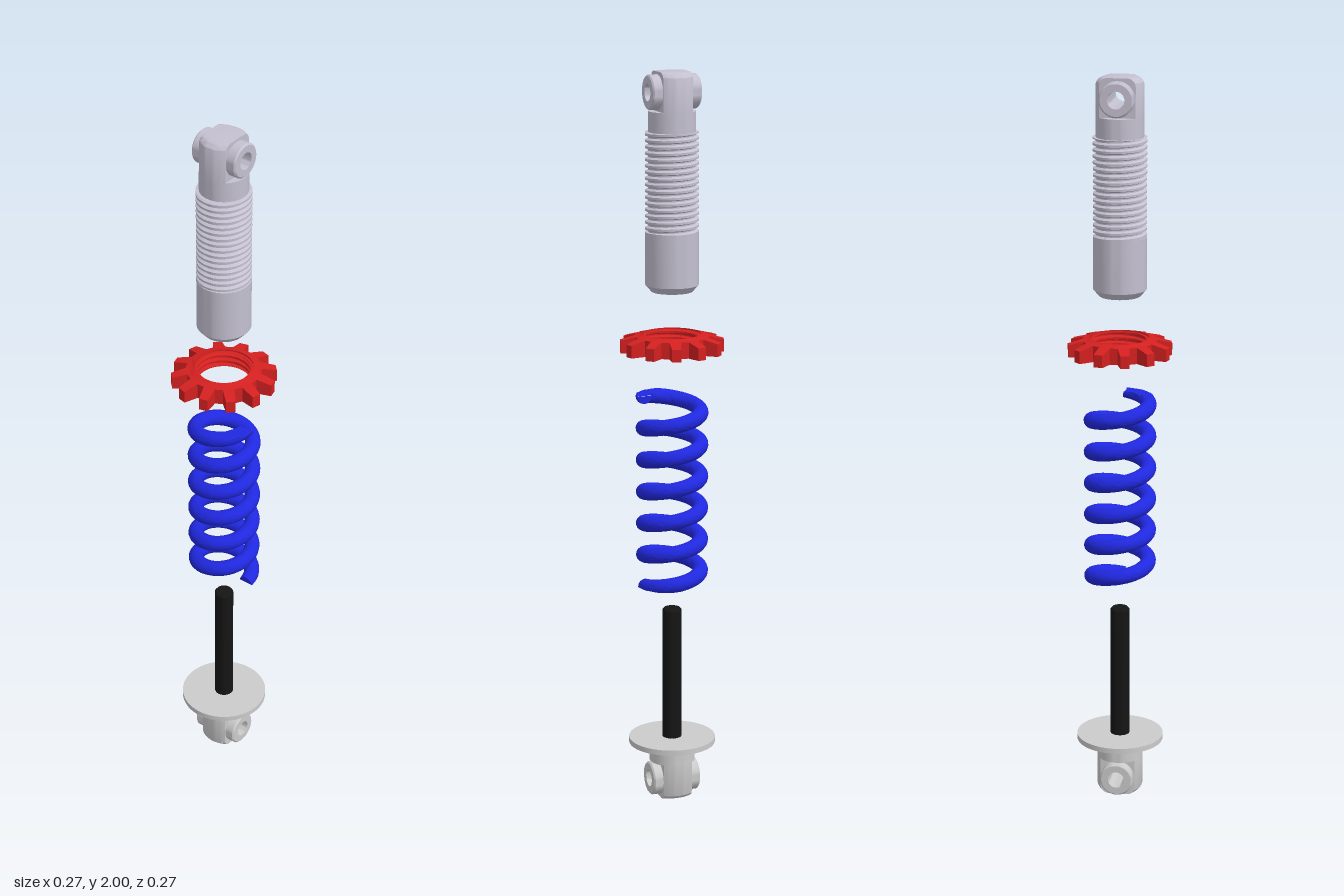
import * as THREE from 'three';
import { toCreasedNormals } from 'three/addons/utils/BufferGeometryUtils.js';

const mat = (color, side = THREE.FrontSide) => new THREE.MeshStandardMaterial({ color, side });
const BODY = mat(0xc4c0d0), GREY = mat(0xcccccc), BLACK = mat(0x151515);
const RED = mat(0xd42020, THREE.DoubleSide), BLUE = mat(0x2028e0);

function add(parent, name, geometry, material) {
  const mesh = new THREE.Mesh(geometry, material);
  mesh.name = name;
  parent.add(mesh);
  return mesh;
}

const lathe = (points, sides = 48) => toCreasedNormals(
  new THREE.LatheGeometry(points.map(([r, y]) => new THREE.Vector2(r, y)), sides), 0.5);

// Move every vertex of a geometry by a rule
function reshape(geometry, rule) {
  const p = geometry.attributes.position, v = new THREE.Vector3();
  for (let i = 0; i < p.count; i++) {
    rule(v.fromBufferAttribute(p, i));
    p.setXYZ(i, v.x, v.y, v.z);
  }
  return geometry;
}

// Screw thread: a ridge profile swept up a helix and trimmed flat at both ends
function thread(root, crest, yMin, yMax, pitch) {
  const profile = [[root, 0], [root, 0.2], [crest, 0.4], [crest, 0.75], [root, 1]];
  const seg = 48, n = profile.length, pos = [], index = [];
  const steps = Math.ceil((yMax - yMin) / pitch + 1) * seg;
  for (let i = 0; i <= steps; i++) {
    const a = i / seg * Math.PI * 2;
    for (const [r, h] of profile) {
      const y = yMin + (i / seg - 1 + h) * pitch;
      pos.push(r * Math.cos(a), THREE.MathUtils.clamp(y, yMin, yMax), -r * Math.sin(a));
    }
    if (i === steps) break;
    for (let j = 0; j < n - 1; j++) {
      const k = i * n + j;
      index.push(k, k + n, k + n + 1, k, k + n + 1, k + 1);
    }
  }
  const g = new THREE.BufferGeometry();
  g.setAttribute('position', new THREE.Float32BufferAttribute(pos, 3));
  g.setIndex(index);
  return toCreasedNormals(g, 0.5);
}

// Mounting eye, with its pin hole at the origin and its neck pointing down
function mountingEye(name, material) {
  const eye = new THREE.Group();
  eye.name = name;
  const R = 0.063, flat = 0.041, w = Math.sqrt(R * R - flat * flat);
  const top = 0.053, c = 0.022, hole = 0.023;

  // Round block with two flats, a rounded top and a cross hole
  const s = new THREE.Shape();
  s.moveTo(-w, -0.052).lineTo(w, -0.052).lineTo(w, top - c);
  s.absarc(w - c, top - c, c, 0, Math.PI / 2, false);
  s.absarc(c - w, top - c, c, Math.PI / 2, Math.PI, false);
  s.closePath();
  s.holes.push(new THREE.Path().absarc(0, 0, hole, 0, Math.PI * 2, true));
  const block = new THREE.ExtrudeGeometry(s, { depth: flat * 2, steps: 12, bevelEnabled: false, curveSegments: 16 });
  block.translate(0, 0, -flat).rotateY(Math.PI / 2);
  reshape(block, v => {
    if (Math.hypot(v.y, v.z) > 0.03) v.z *= Math.sqrt(R * R - v.x * v.x) / w;
  });
  add(eye, 'eyeBlock', toCreasedNormals(block, 0.6), material);

  // Neck below the flats
  add(eye, 'eyeNeck', lathe([[0, -0.11], [R, -0.11], [R, -0.05], [0, -0.05]]), material);

  // Ring boss on each flat
  const boss = lathe([[hole, 0.04], [0.046, 0.04], [0.046, 0.064], [0.042, 0.068], [hole, 0.068], [hole, 0.04]], 32);
  for (const side of [1, -1]) add(eye, 'eyeBoss', boss, material).rotation.z = -side * Math.PI / 2;
  return eye;
}

// Toothed adjuster nut: conical top face, threaded bore
function adjusterNut() {
  const nut = new THREE.Group();
  nut.name = 'adjusterNut';
  const yLow = 1.256, yHigh = 1.306, points = [];
  for (let i = 0; i < 12; i++) {
    for (const [deg, r] of [[-9, 0.1], [-5, 0.139], [5, 0.139], [9, 0.1]]) {
      const a = THREE.MathUtils.degToRad(15 + i * 30 + deg);
      points.push(new THREE.Vector2(r * Math.cos(a), r * Math.sin(a)));
    }
  }
  const s = new THREE.Shape(points);
  s.holes.push(new THREE.Path().absarc(0, 0, 0.078, 0, Math.PI * 2, true));
  const g = new THREE.ExtrudeGeometry(s, { depth: yHigh - yLow, bevelEnabled: false, curveSegments: 24 });
  g.rotateX(-Math.PI / 2).translate(0, yLow, 0);
  reshape(g, v => {
    if (v.y > yLow + 0.01) v.y -= (Math.hypot(v.x, v.z) - 0.078) * 0.27;
  });
  add(nut, 'nutTeeth', toCreasedNormals(g, 0.4), RED);
  add(nut, 'nutThread', thread(0.078, 0.07, yLow + 0.002, yHigh - 0.004, 0.0165), RED);
  return nut;
}

// Coil spring with both ends ground flat
function coilSpring() {
  const spring = new THREE.Group();
  spring.name = 'coilSpring';
  const y0 = 0.61, y1 = 1.14, R = 0.077, wire = 0.021, turns = 6;
  const path = new THREE.Curve();
  path.getPoint = (t, out = new THREE.Vector3()) => {
    const a = t * turns * Math.PI * 2;
    return out.set(R * Math.cos(a), y0 + (y1 - y0) * t, -R * Math.sin(a));
  };
  const coil = new THREE.TubeGeometry(path, turns * 48, wire, 16);
  reshape(coil, v => { v.y = THREE.MathUtils.clamp(v.y, y0, y1); });
  add(spring, 'coil', toCreasedNormals(coil, 0.7), BLUE);

  // Half-round end faces
  const cap = new THREE.CircleGeometry(wire, 16, 0, Math.PI);
  add(spring, 'coilEnd', cap, BLUE).position.set(R, y0, 0);
  const end = add(spring, 'coilEnd', cap, BLUE);
  end.position.set(R, y1, 0);
  end.rotation.x = Math.PI;
  return spring;
}

export function createModel() {
  const model = new THREE.Group();
  model.name = 'coilOverShockAbsorber';

  // Damper body with a chamfered, bored lower end
  add(model, 'damperBody', lathe([
    [0, 1.45], [0.027, 1.45], [0.027, 1.42], [0.055, 1.42], [0.071, 1.438],
    [0.071, 1.58], [0.063, 1.58], [0.063, 1.86], [0, 1.86],
  ]), BODY);
  add(model, 'bodyThread', thread(0.063, 0.071, 1.58, 1.843, 0.0165), BODY);
  const upperEye = mountingEye('upperEye', BODY);
  upperEye.position.y = 1.947;
  model.add(upperEye);

  model.add(adjusterNut(), coilSpring());

  // Piston rod, spring seat and lower mount
  add(model, 'pistonRod', lathe([[0, 0.16], [0.026, 0.16], [0.026, 0.536], [0.022, 0.541], [0, 0.541]], 32), BLACK);
  add(model, 'springSeat', lathe([[0, 0.155], [0.119, 0.155], [0.119, 0.17], [0, 0.17]], 64), GREY);
  const lowerEye = mountingEye('lowerEye', GREY);
  lowerEye.position.y = 0.053;
  lowerEye.rotation.x = Math.PI;
  model.add(lowerEye);
  return model;
}
